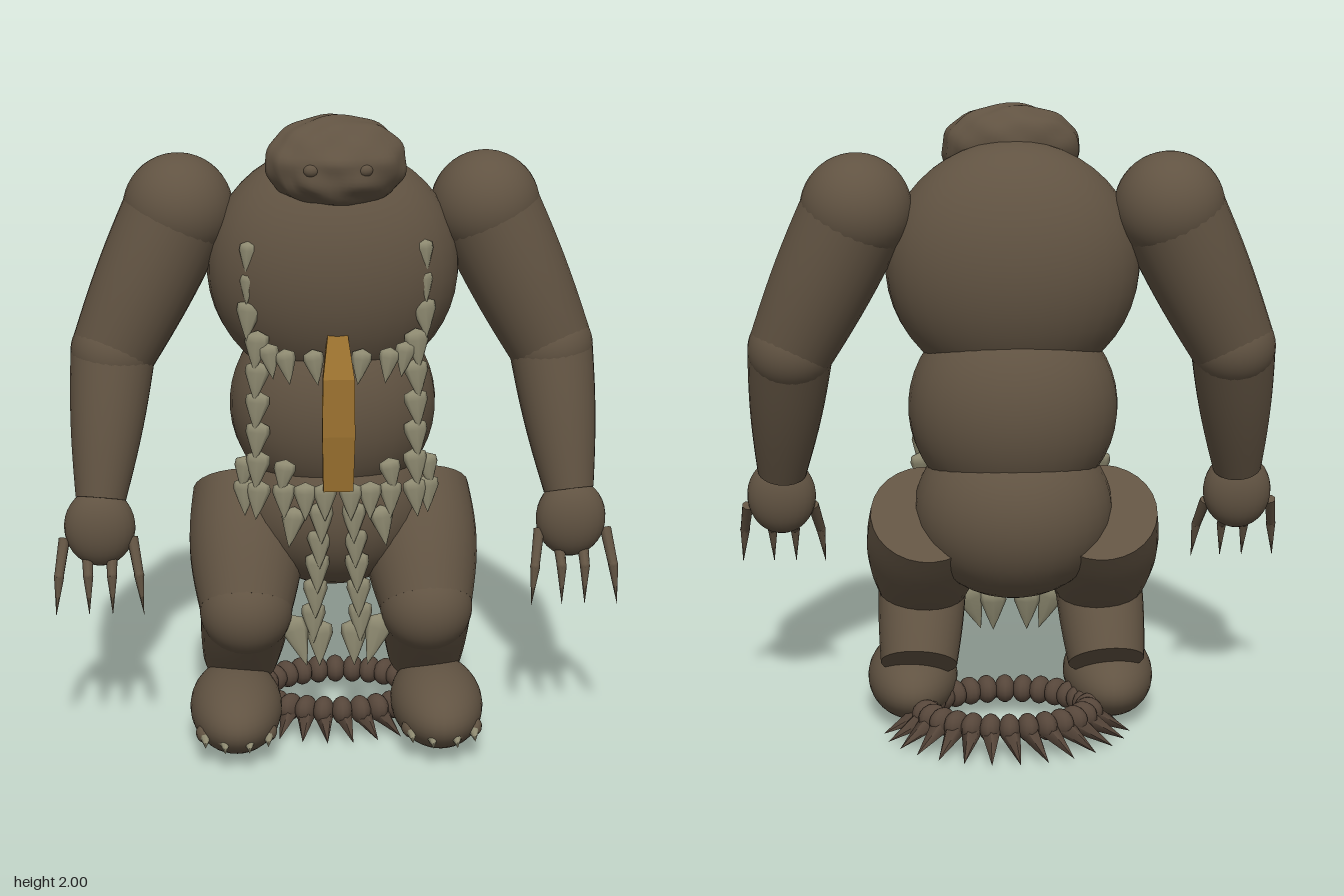
import * as THREE from 'three';

const mat = (name, color, extra = {}) =>
  Object.assign(new THREE.MeshStandardMaterial({ color, ...extra }), { name });

export function createModel() {
  const model = new THREE.Group();
  model.name = 'clawedBeast';
  const hide = mat('brown hide', 0x615342);
  const tailHide = mat('dark tail hide', 0x56463a);
  const horn = mat('pale horn', 0x8d8970);
  const gold = mat('ochre strap', 0x9c7230);
  const V = (x, y, z) => new THREE.Vector3(x, y, z);
  const UP = V(0, 1, 0);

  const add = (name, geometry, material, parent = model) => {
    const m = new THREE.Mesh(geometry, material);
    m.name = name;
    parent.add(m);
    return m;
  };
  const ellipsoid = (name, pos, radii, material = hide, parent = model, seg = 32) => {
    const m = add(name, new THREE.SphereGeometry(1, seg, Math.ceil(seg * 0.7)), material, parent);
    m.position.set(...pos);
    m.scale.set(...radii);
    return m;
  };
  // Rounded, capped limb from a to b with a slight muscle bulge
  const limb = (name, a, b, ra, rb, bulge, parent, material = hide, sides = 28) => {
    const len = a.distanceTo(b), n = 10;
    const side = [];
    for (let i = 0; i <= n; i++) {
      const t = i / n;
      side.push(new THREE.Vector2(ra + (rb - ra) * t + bulge * Math.sin(Math.PI * t), len * t));
    }
    const m = add(name, new THREE.LatheGeometry(side, sides), material, parent);
    m.position.copy(a);
    m.quaternion.setFromUnitVectors(UP, b.clone().sub(a).normalize());
    for (const [y, r, turn] of [[0, ra, 1], [len, rb, -1]]) {
      const cap = add(name + 'Cap', new THREE.CircleGeometry(r, sides), material, m);
      cap.position.y = y;
      cap.rotation.x = turn * Math.PI / 2;
    }
    return m;
  };
  // Pointed cone from base to tip
  const spike = (name, base, tip, r, material, parent, sides = 7, flat = 1) => {
    const m = add(name, new THREE.ConeGeometry(r, base.distanceTo(tip), sides), material, parent);
    m.position.copy(base).lerp(tip, 0.5);
    m.quaternion.setFromUnitVectors(UP, tip.clone().sub(base).normalize());
    m.scale.z = flat;
    return m;
  };

  // Torso
  ellipsoid('chest', [0, 1.52, -0.04], [0.39, 0.38, 0.26]);
  ellipsoid('belly', [0, 1.08, -0.06], [0.325, 0.33, 0.26]);
  ellipsoid('pelvis', [0, 0.755, -0.08], [0.31, 0.28, 0.27]);

  // Lumpy head, flattened at the face
  const skull = new THREE.SphereGeometry(1, 48, 32);
  const p = skull.attributes.position;
  for (let i = 0; i < p.count; i++) {
    const x = p.getX(i), y = p.getY(i), z = p.getZ(i);
    const lump = 1 + 0.022 * Math.sin(9 * x + 2) * Math.sin(8 * y + 1) + 0.018 * Math.sin(13 * z + 7 * x);
    const brow = z > 0 ? 0.07 * z * Math.exp(-Math.pow((y - 0.12) / 0.16, 2)) : 0;
    const jaw = z > 0 ? 0.05 * z * Math.exp(-Math.pow((y + 0.5) / 0.2, 2)) : 0;
    p.setXYZ(i, x * 0.213 * lump, y * 0.135 * lump, (z * 0.135 - y * 0.025) * (lump + brow + jaw));
  }
  skull.computeVertexNormals();
  add('head', skull, hide).position.set(0, 1.866, 0.08);
  for (const s of [-1, 1]) ellipsoid('eye', [s * 0.08, 1.858, 0.2], [0.024, 0.02, 0.018], hide, model, 12);

  for (const s of [-1, 1]) {
    const side = s > 0 ? 'left' : 'right';

    // Arm
    const arm = new THREE.Group();
    arm.name = side + 'Arm';
    model.add(arm);
    const shoulder = V(s * 0.475, 1.7, -0.075), elbow = V(s * 0.685, 1.26, -0.035), wrist = V(s * 0.73, 0.83, 0.12);
    ellipsoid('shoulder', shoulder.toArray(), [0.17, 0.17, 0.172], hide, arm);
    limb('upperArm', shoulder, elbow, 0.165, 0.132, 0.008, arm);
    ellipsoid('elbow', elbow.toArray(), [0.132, 0.132, 0.14], hide, arm);
    limb('forearm', elbow, wrist, 0.132, 0.078, 0.008, arm);
    ellipsoid('hand', [s * 0.735, 0.745, 0.142], [0.11, 0.125, 0.075], hide, arm, 24);
    // Jointed fingers ending in points: base x and y, then tip x
    for (const [bx, by, tx] of [[0.635, 0.71, 0.602], [0.7, 0.655, 0.698], [0.775, 0.655, 0.77], [0.845, 0.71, 0.872]]) {
      const base = V(s * bx, by, 0.15);
      const mid = V(s * (bx + (tx - bx) * 0.6), 0.61, 0.215);
      limb('finger', base, mid, 0.018, 0.015, 0, arm, hide, 8);
      ellipsoid('knuckle', mid.toArray(), [0.016, 0.016, 0.016], hide, arm, 8);
      spike('fingerClaw', mid, V(s * tx, 0.49, 0.242), 0.016, hide, arm);
    }

    // Leg
    const leg = new THREE.Group();
    leg.name = side + 'Leg';
    model.add(leg);
    const hip = V(s * 0.27, 0.76, -0.145), knee = V(s * 0.285, 0.455, 0.125), ankle = V(s * 0.3, 0.235, -0.045);
    limb('thigh', hip, knee, 0.175, 0.146, 0.022, leg);
    ellipsoid('knee', knee.toArray(), [0.146, 0.146, 0.146], hide, leg);
    limb('shin', knee, ankle, 0.142, 0.122, 0.004, leg);
    ellipsoid('foot', [s * 0.32, 0.133, 0.135], [0.146, 0.125, 0.25], hide, leg);
    for (const [x, z] of [[0.225, 0.29], [0.285, 0.335], [0.36, 0.335], [0.42, 0.29]]) {
      ellipsoid('toe', [s * x, 0.105, z - 0.01], [0.03, 0.03, 0.04], hide, leg, 12);
      spike('toeClaw', V(s * x, 0.108, z), V(s * x, 0.085, z + 0.065), 0.024, horn, leg, 8);
    }
  }

  // Hanging leaf-shaped scales
  const armour = new THREE.Group();
  armour.name = 'scaleArmour';
  model.add(armour);
  const leaf = new THREE.LatheGeometry(
    [[0, -0.6], [0.2, -0.3], [0.45, 0.12], [0.42, 0.3], [0, 0.42]].map(([x, y]) => new THREE.Vector2(x, y)), 8);
  const scale = (x, y, z, w = 0.075, h = 0.12, tilt = 0) => {
    const m = add('scale', leaf, horn, armour);
    m.position.set(x, y, z);
    m.scale.set(w, h, 0.04);
    m.rotation.set(-0.15, x * 0.8, tilt);
  };
  const front = (x) => 0.2 - 0.9 * x * x;
  for (const s of [-1, 1]) {
    // Side columns
    for (let i = 0; i < 9; i++) {
      const y = 1.595 - i * 0.095, x = i < 3 ? 0.268 : 0.245;
      scale(s * x, y, front(x), i < 2 ? 0.06 : 0.085, i < 2 ? 0.1 : 0.125, s * 0.1);
    }
    // Rows across the chest and waist
    for (const x of [0.07, 0.155, 0.205]) scale(s * x, x > 0.2 ? 1.28 : 1.265, 0.19 - 0.7 * x * x, 0.07, 0.11, -s * 0.15);
    for (const x of [0.04, 0.1, 0.165, 0.285]) {
      scale(s * x, 0.84, front(x), 0.08, 0.12);
      if (x > 0.1) scale(s * x, 0.915, front(x), 0.075, 0.11, s * 0.15);
    }
    scale(s * 0.14, 0.755, 0.18, 0.08, 0.13, s * 0.15);
    // Loin strips and their flared ends
    for (let i = 0; i < 5; i++) scale(s * (0.05 + 0.006 * i), 0.77 - i * 0.085, 0.185 - i * 0.008, 0.085, 0.135);
    scale(s * 0.055, 0.36, 0.15, 0.095, 0.15);
    scale(s * 0.125, 0.37, 0.15, 0.095, 0.17, -s * 0.3);
  }

  // Bent strap down the belly, swept as short tapered sections
  const strap = [[1.36, 0.03, 0.175], [1.23, 0.048, 0.228], [1.05, 0.05, 0.23], [0.87, 0.046, 0.21]];
  for (let i = 0; i < 3; i++) {
    const g = new THREE.BoxGeometry(1, 1, 1), q = g.attributes.position;
    for (let k = 0; k < q.count; k++) {
      const [y, w, z] = strap[q.getY(k) > 0 ? i : i + 1];
      q.setXYZ(k, Math.sign(q.getX(k)) * w, y, z + q.getZ(k) * 0.03);
    }
    g.computeVertexNormals();
    add('bellyStrap', g, gold);
  }

  // Coiled tail ring of beads with spikes splayed to the ground
  const tail = new THREE.Group();
  tail.name = 'tailRing';
  model.add(tail);
  const count = 28;
  for (let i = 0; i < count; i++) {
    const a = (i / count) * Math.PI * 2, c = Math.cos(a), n = Math.sin(a);
    const x = 0.02 + 0.265 * c, z = -0.075 + 0.175 * n;
    const bead = ellipsoid('tailBead', [x, 0.09, z], [0.048, 0.045, 0.034], tailHide, tail, 12);
    bead.rotation.y = -a;
    const reach = n > 0 ? 0.1 : 0.13;
    spike('tailSpike', V(x, 0.085, z), V(x + c * reach + n * 0.03, 0.02, z + n * reach - c * 0.03), 0.036, tailHide, tail, 5);
  }
  return model;
}
